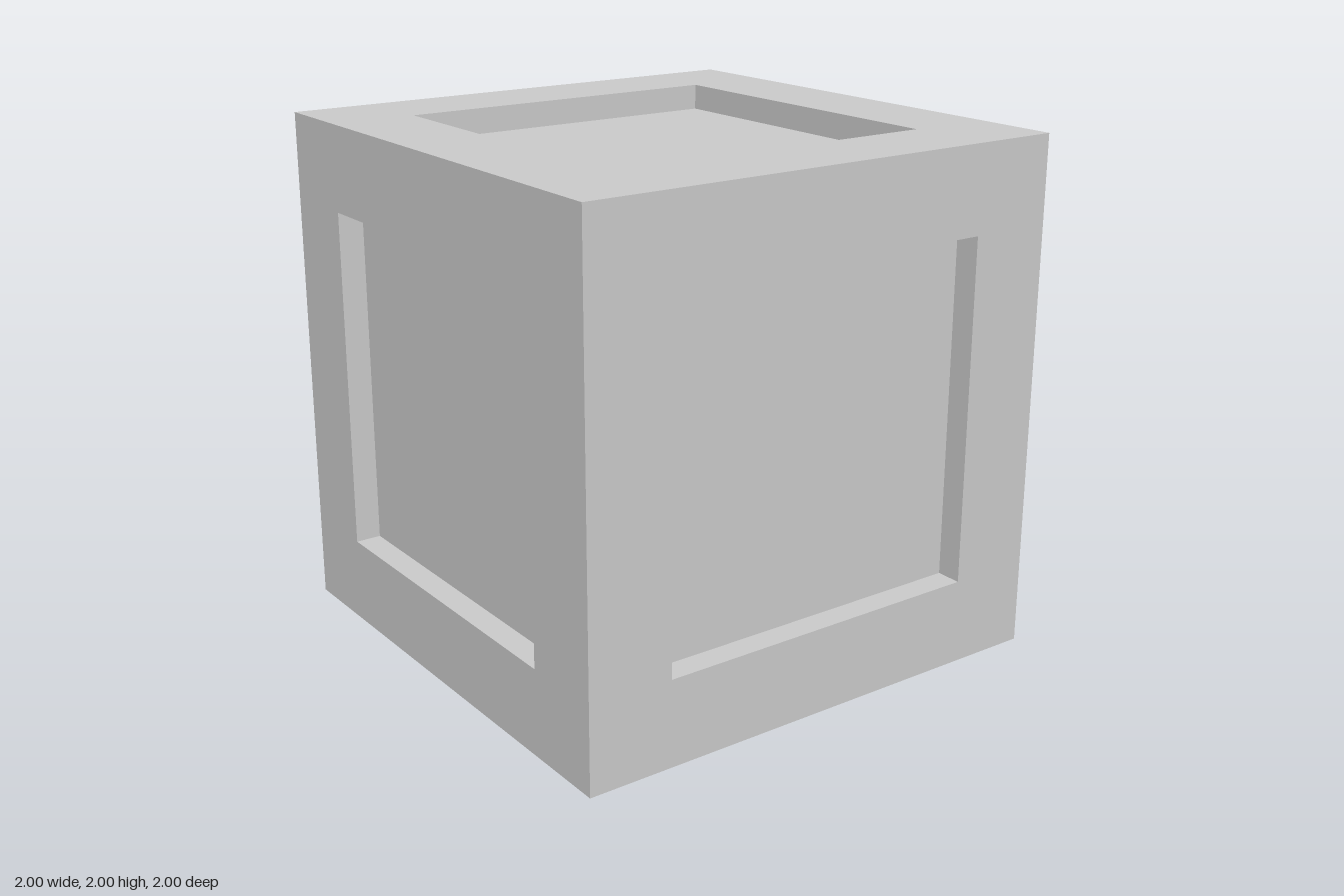
import * as THREE from 'three';

const HALF = 1;       // half the cube's side
const PANEL = 0.667;  // half the recessed panel's side
const DEPTH = 0.1;    // depth of the recess

// One face pointing up: square rim, recess walls and sunken panel,
// turned as a four-sided lathe from the outer edge inwards.
function faceGeometry() {
  const profile = [
    [HALF, HALF],
    [PANEL, HALF],
    [PANEL, HALF - DEPTH],
    [0, HALF - DEPTH],
  ].map(([half, y]) => new THREE.Vector2(half * Math.SQRT2, y));
  const geometry = new THREE.LatheGeometry(profile, 4, Math.PI / 4).toNonIndexed();
  geometry.computeVertexNormals();
  return geometry;
}

export function createModel() {
  const model = new THREE.Group();
  model.name = 'recessedCube';
  const material = new THREE.MeshStandardMaterial({ color: 0xcccccc, flatShading: true });
  const geometry = faceGeometry();
  const q = Math.PI / 2;

  // The same face turned to all six sides
  const sides = {
    topFace: [0, 0, 0],
    bottomFace: [Math.PI, 0, 0],
    frontFace: [q, 0, 0],
    backFace: [-q, 0, 0],
    leftFace: [0, 0, -q],
    rightFace: [0, 0, q],
  };
  for (const [name, rotation] of Object.entries(sides)) {
    const face = new THREE.Mesh(geometry, material);
    face.name = name;
    face.rotation.set(...rotation);
    face.position.y = HALF;
    model.add(face);
  }
  return model;
}
